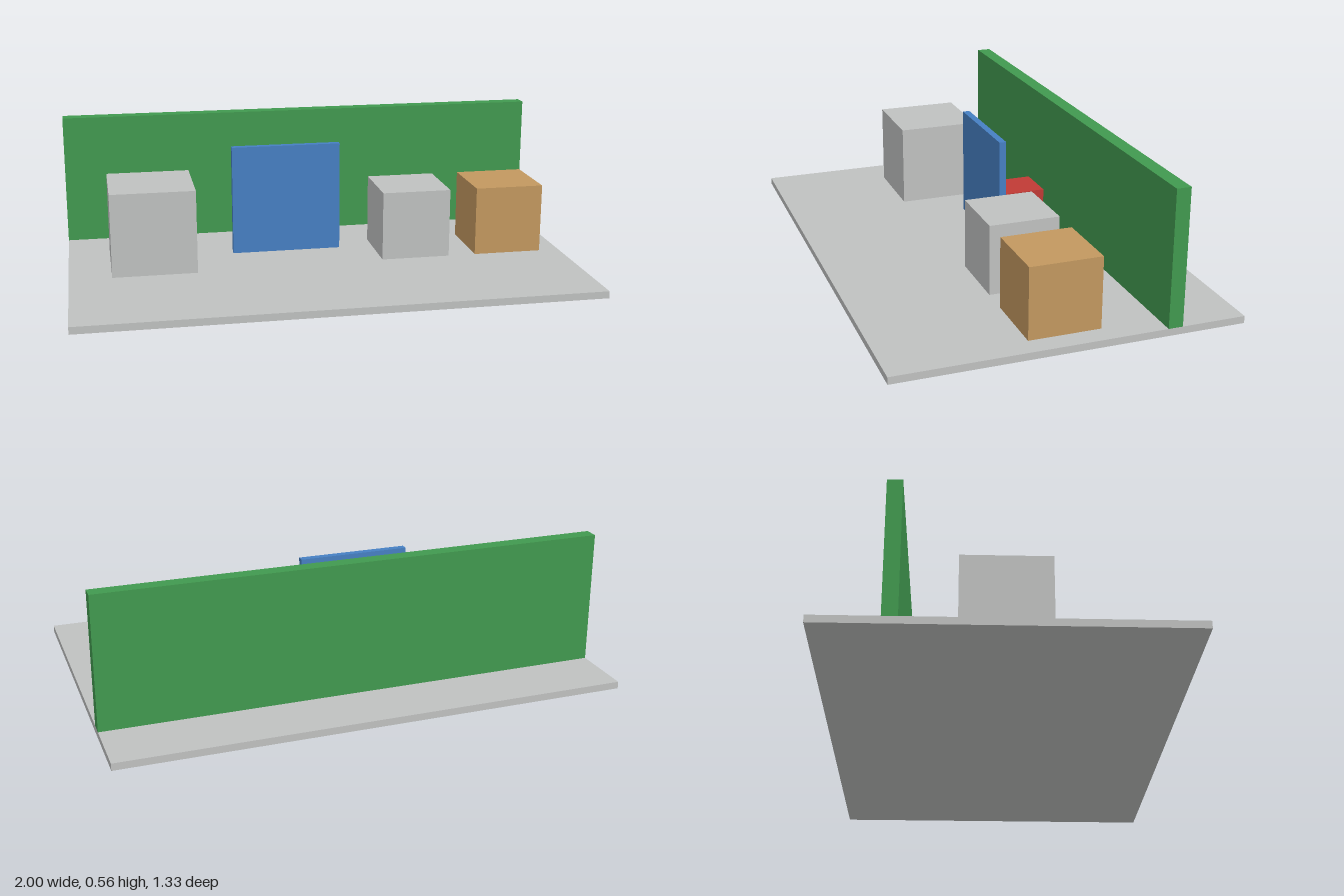
import * as THREE from 'three';

const colour = (name, hex) => {
  const m = new THREE.MeshStandardMaterial({ color: hex });
  m.name = name;
  return m;
};

export function createModel() {
  const grey = colour('light grey', 0xbfc1c0);
  const green = colour('green', 0x41994f);
  const blue = colour('blue', 0x467fc2);
  const tan = colour('tan', 0xc2985f);
  const red = colour('red', 0xc03a35);

  const model = new THREE.Group();
  model.name = 'blockScene';
  const floorTop = 0.028;

  // A block of the given size resting at height y
  const block = (name, material, [w, h, d], x, z, y = floorTop) => {
    const mesh = new THREE.Mesh(new THREE.BoxGeometry(w, h, d), material);
    mesh.name = name;
    mesh.position.set(x, y + h / 2, z);
    model.add(mesh);
  };

  // Floor and back wall
  block('floor', grey, [2, floorTop, 1.333], 0, 0, 0);
  block('backWall', green, [2, 0.528, 0.056], 0, -0.389);

  // Upright panel with a cube hidden behind it
  block('uprightPanel', blue, [0.444, 0.445, 0.028], -0.111, -0.069);
  block('hiddenCube', red, [0.167, 0.167, 0.167], -0.113, -0.222);

  // Free-standing cubes
  block('largeCube', grey, [0.333, 0.333, 0.333], -0.667, 0);
  block('smallCube', grey, [0.278, 0.278, 0.278], 0.389, 0);
  block('tanCube', tan, [0.278, 0.278, 0.278], 0.778, 0);

  return model;
}
